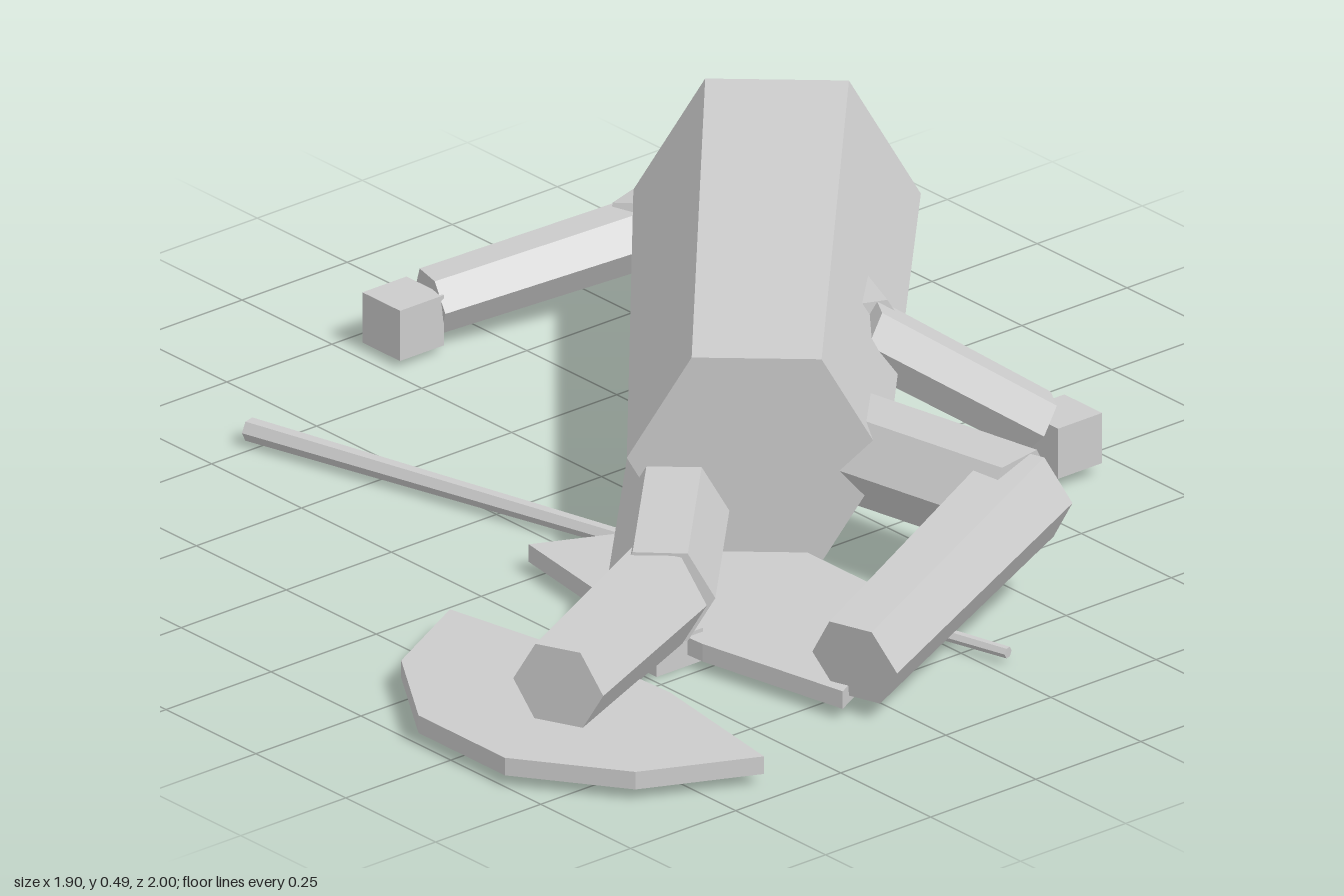
import * as THREE from 'three';

const mat = new THREE.MeshStandardMaterial({ color: 0xcccccc, flatShading: true });

export function createModel() {
  const root = new THREE.Group();

  function add(name, geometry, parent = root) {
    const mesh = new THREE.Mesh(geometry, mat);
    mesh.name = name;
    parent.add(mesh);
    return mesh;
  }

  // Six-sided tapered prism between two points, one flat side facing up
  function prism(name, a, b, ra, rb, parent = root) {
    const A = new THREE.Vector3(...a), B = new THREE.Vector3(...b);
    const dir = B.clone().sub(A), len = dir.length();
    dir.normalize();
    const up = new THREE.Vector3(0, 1, 0).addScaledVector(dir, -dir.y).normalize();
    const side = up.clone().cross(dir);
    const mesh = add(name, new THREE.CylinderGeometry(rb, ra, len, 6), parent);
    mesh.quaternion.setFromRotationMatrix(new THREE.Matrix4().makeBasis(up, dir, side));
    mesh.position.copy(A).lerp(B, 0.5);
    return mesh;
  }

  // Torso and head
  prism('torso', [-0.545, 0.265, -0.67], [0.275, 0.245, 0.08], 0.26, 0.235);
  const head = add('head', new THREE.SphereGeometry(0.18, 7, 4));
  head.position.set(-0.69, 0.205, -0.82);
  head.rotation.y = -Math.PI / 2;

  // Arms: upper arm, forearm and block hand
  const arms = [
    ['right', [-0.5, 0.2, -0.65], [-0.82, 0.135, -0.55], [-0.785, 0.135, -0.55], [-0.89, 0.085, -0.14], [-0.895, 0.066, -0.08]],
    ['left', [-0.17, 0.29, -0.45], [0.1, 0.31, -0.34], [0.1, 0.32, -0.32], [0.262, 0.11, -0.6], [0.28, 0.076, -0.64]],
  ];
  for (const [s, shoulder, elbow, foreStart, wrist, hand] of arms) {
    const arm = new THREE.Group();
    arm.name = s + 'Arm';
    root.add(arm);
    prism(s + 'UpperArm', shoulder, elbow, 0.08, 0.068, arm);
    prism(s + 'Forearm', foreStart, wrist, 0.066, 0.062, arm);
    add(s + 'Hand', new THREE.BoxGeometry(0.105, 0.1, 0.105), arm).position.set(...hand);
  }

  // Legs: thigh and shin
  const legs = [
    ['right', [0.01, 0.14, 0.03], [0.445, 0.145, 0.455], [0.43, 0.14, 0.45], [0.6, 0.132, 0.83]],
    ['left', [0.2, 0.225, -0.1], [0.69, 0.225, -0.19], [0.66, 0.225, -0.23], [0.84, 0.115, 0.33]],
  ];
  for (const [s, hip, knee, shinStart, ankle] of legs) {
    const leg = new THREE.Group();
    leg.name = s + 'Leg';
    root.add(leg);
    prism(s + 'Thigh', hip, knee, 0.1, 0.1, leg);
    prism(s + 'Shin', shinStart, ankle, 0.1, 0.09, leg);
  }

  // Two flat curved blades, the second turned half way round
  const outline = [[0.1, 0.66], [0.21, 0.87], [0.41, 1], [0.65, 1], [0.85, 0.86], [0.95, 0.64], [0.63, 0.59], [0.42, 0.6]];
  const cx = 0.465, cz = 0.505;
  const shape = new THREE.Shape(outline.map(([x, z]) => new THREE.Vector2(x - cx, -(z - cz))));
  for (let i = 0; i < 2; i++) {
    const geo = new THREE.ExtrudeGeometry(shape, { depth: 0.035, bevelEnabled: false });
    geo.rotateX(-Math.PI / 2);
    const blade = add(i ? 'rearBlade' : 'frontBlade', geo);
    blade.position.set(cx, 0.025, cz);
    blade.rotation.y = i * Math.PI;
  }

  // Block and short grip beneath the right leg
  add('bladeBlock', new THREE.BoxGeometry(0.14, 0.065, 0.11)).position.set(0.4, 0.035, 0.43);
  prism('bladeGrip', [0.42, 0.035, 0.45], [0.6, 0.035, 0.82], 0.025, 0.025);

  // Long tapered pole lying on the ground
  prism('pole', [-0.775, 0.03, 0.39], [0.84, 0.025, -0.035], 0.022, 0.011);

  return root;
}
